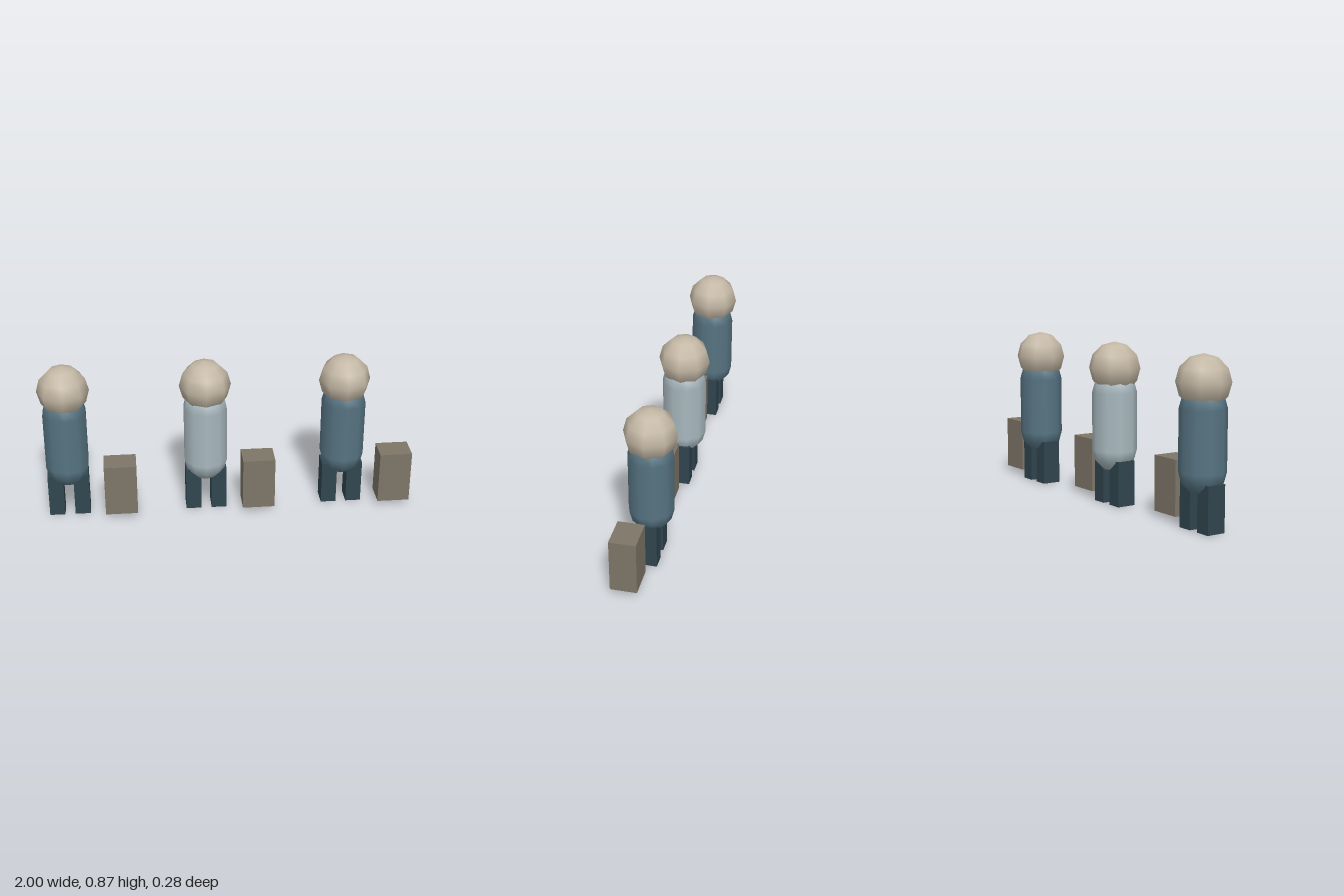
import * as THREE from 'three';

const material = (name, color) => {
  const m = new THREE.MeshStandardMaterial({ color });
  m.name = name;
  return m;
};

export function createModel() {
  const skin = material('beige skin', 0xc4b8a5);
  const blue = material('slate blue coat', 0x567482);
  const pale = material('pale grey coat', 0xa8b8be);
  const dark = material('dark trousers', 0x30454f);
  const tan = material('brown luggage', 0x7e7668);

  // Shared shapes
  const bodyGeo = new THREE.CapsuleGeometry(0.119, 0.31, 3, 10).rotateY(Math.PI / 2);
  const headGeo = new THREE.SphereGeometry(0.138, 8, 6);
  const legGeo = new THREE.BoxGeometry(0.083, 0.241, 0.104);
  const caseGeo = new THREE.BoxGeometry(0.174, 0.29, 0.138);

  const add = (parent, name, geo, mat, x, y, z) => {
    const mesh = new THREE.Mesh(geo, mat);
    mesh.name = name;
    mesh.position.set(x, y, z);
    parent.add(mesh);
  };

  // One traveller with a suitcase standing at the left
  const traveller = (coat) => {
    const g = new THREE.Group();
    g.name = 'traveller';
    add(g, 'body', bodyGeo, coat, 0, 0.446, 0);
    add(g, 'head', headGeo, skin, 0, 0.73, 0);
    add(g, 'rightLeg', legGeo, dark, -0.069, 0.1205, 0);
    add(g, 'leftLeg', legGeo, dark, 0.069, 0.1205, 0);
    add(g, 'suitcase', caseGeo, tan, 0.281, 0.175, 0.054);
    return g;
  };

  // A row of three, the middle one in a pale coat
  const model = new THREE.Group();
  model.name = 'travellerQueue';
  [blue, pale, blue].forEach((coat, i) => {
    const t = traveller(coat);
    t.position.x = -0.862 + i * 0.747;
    model.add(t);
  });
  return model;
}
